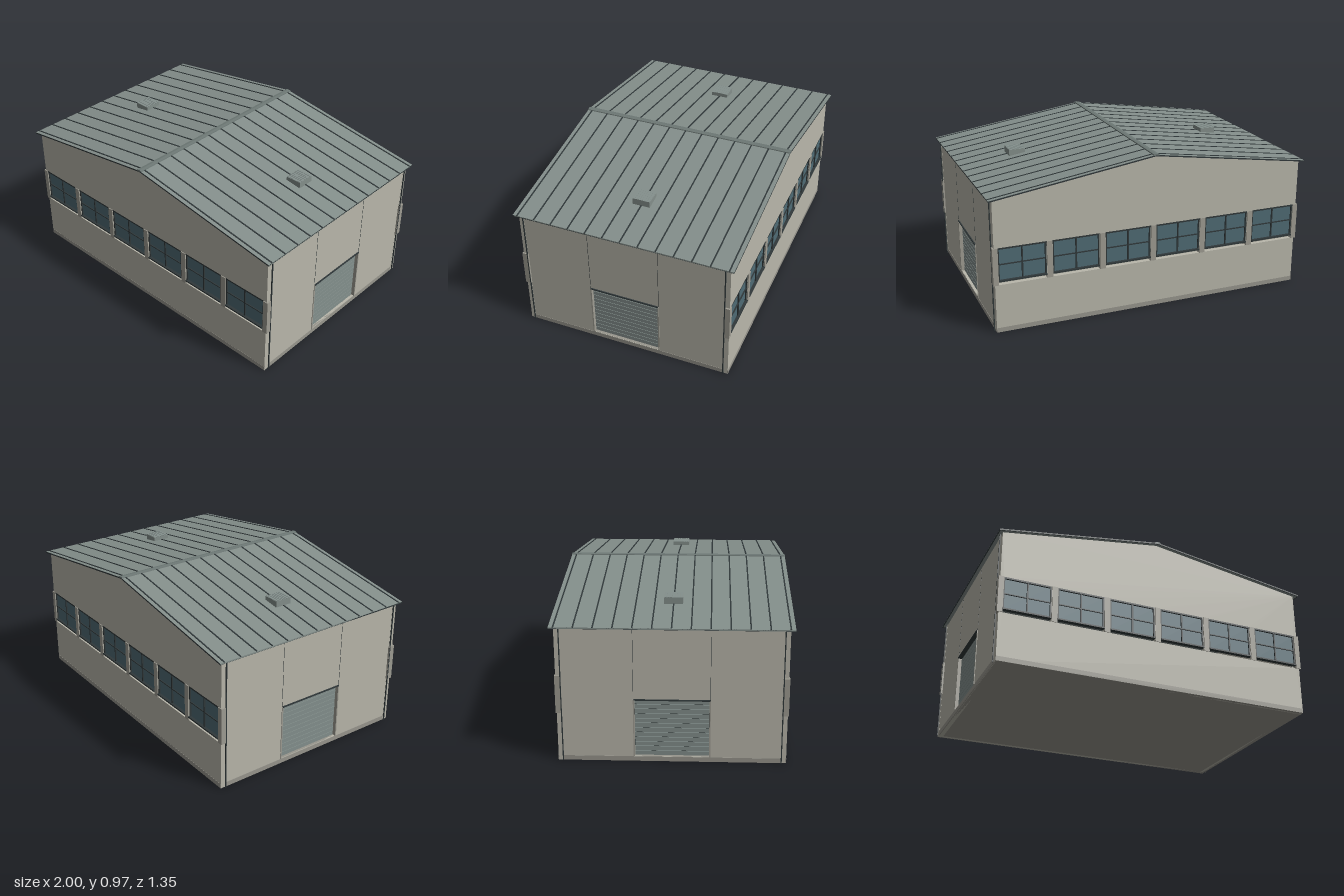
import * as THREE from 'three';

const mat = (color, side = THREE.FrontSide) => new THREE.MeshStandardMaterial({ color, side, flatShading: true, roughness: 0.9 });

export function createModel() {
  const model = new THREE.Group();
  const wall = mat(0xb9b7ab), trim = mat(0x9f9d93), plinthMat = mat(0x98968d);
  const roofMat = mat(0x848f8b), dark = mat(0x30383a), glass = mat(0x4f6b74), doorMat = mat(0x84908d);

  const group = (name, parent = model) => {
    const g = new THREE.Group();
    g.name = name;
    parent.add(g);
    return g;
  };
  // Box given by its low and high limits on each axis
  const box = (parent, name, m, x0, x1, y0, y1, z0, z1) => {
    const b = new THREE.Mesh(new THREE.BoxGeometry(x1 - x0, y1 - y0, z1 - z0), m);
    b.name = name;
    b.position.set((x0 + x1) / 2, (y0 + y1) / 2, (z0 + z1) / 2);
    parent.add(b);
    return b;
  };
  const shapeOf = pts => new THREE.Shape(pts.map(p => new THREE.Vector2(...p)));
  const rect = (x0, x1, y0, y1) => new THREE.Path([[x0, y0], [x0, y1], [x1, y1], [x1, y0]].map(p => new THREE.Vector2(...p)));
  const extrude = (parent, name, m, shape, depth, z) => {
    const mesh = new THREE.Mesh(new THREE.ExtrudeGeometry(shape, { depth, bevelEnabled: false }), m);
    mesh.name = name;
    mesh.position.z = z;
    parent.add(mesh);
    return mesh;
  };

  // Floor slab
  box(model, 'floorSlab', plinthMat, -0.972, 0.972, 0, 0.03, -0.648, 0.648);

  // Window ends, built identically front and back
  const centres = [0, 1, 2, 3, 4, 5].map(i => (i - 2.5) * 0.324);
  const hw = 0.143;
  for (const turn of [0, Math.PI]) {
    const end = group(turn ? 'backEnd' : 'frontEnd');
    end.rotation.y = turn;
    const gable = shapeOf([[-0.975, 0], [0.975, 0], [0.975, 0.809], [0, 0.955], [-0.975, 0.809]]);
    for (const c of centres) gable.holes.push(rect(c - hw, c + hw, 0.295, 0.52));
    extrude(end, 'gableWall', wall, gable, 0.028, 0.622);
    box(end, 'plinth', plinthMat, -0.975, 0.975, 0, 0.028, 0.645, 0.651);

    // Glazing with dark frame bars; an open slot stays below each frame
    for (const c of centres) {
      const w = group('window', end);
      box(w, 'pane', glass, c - hw, c + hw, 0.317, 0.518, 0.634, 0.64);
      for (const x of [c - hw + 0.004, c, c + hw - 0.004])
        box(w, 'verticalBar', dark, x - 0.004, x + 0.004, 0.315, 0.52, 0.63, 0.648);
      box(w, 'topRail', dark, c - hw, c + hw, 0.51, 0.52, 0.63, 0.65);
      box(w, 'middleRail', dark, c - hw, c + hw, 0.414, 0.42, 0.63, 0.647);
      box(w, 'bottomRail', dark, c - hw, c + hw, 0.314, 0.323, 0.63, 0.657);
    }
    // Piers between the windows and wrapping the corners
    for (let i = -2; i <= 2; i++)
      box(end, 'windowPier', trim, i * 0.324 - 0.017, i * 0.324 + 0.017, 0.295, 0.52, 0.622, 0.655);
    for (const s of [-1, 1])
      box(end, 'cornerPier', trim, s * 0.969 - 0.016, s * 0.969 + 0.016, 0.295, 0.52, 0.618, 0.655);
  }

  // Side walls with roller doors, built facing +z and turned outwards
  for (const s of [-1, 1]) {
    const side = group(s > 0 ? 'leftSide' : 'rightSide');
    side.rotation.y = s * Math.PI / 2;
    const sheet = shapeOf([[-0.622, 0], [0.622, 0], [0.622, 0.806], [-0.622, 0.806]]);
    sheet.holes.push(rect(-0.212, 0.212, 0.03, 0.38));
    extrude(side, 'sideWall', wall, sheet, 0.03, 0.944);
    box(side, 'plinth', plinthMat, -0.622, 0.622, 0, 0.028, 0.97, 0.976);
    for (const e of [-1, 1]) {
      box(side, 'panelJoint', dark, e * 0.217 - 0.001, e * 0.217 + 0.001, 0.38, 0.806, 0.972, 0.975);
      box(side, 'doorJamb', trim, e * 0.215 - 0.004, e * 0.215 + 0.004, 0.03, 0.38, 0.945, 0.978);
      box(side, 'downpipe', dark, e * 0.622 - 0.003, e * 0.622 + 0.003, 0, 0.808, 0.98, 0.986);
    }
    box(side, 'doorLintel', dark, -0.215, 0.215, 0.376, 0.383, 0.945, 0.981);

    // Door slats over a dark backing
    const door = group('rollerDoor', side);
    box(door, 'doorBacking', dark, -0.212, 0.212, 0.03, 0.38, 0.945, 0.952);
    const pitch = 0.346 / 12;
    for (let i = 0; i < 12; i++)
      box(door, 'doorSlat', doorMat, -0.21, 0.21, 0.03 + i * pitch, 0.03 + (i + 1) * pitch - 0.003, 0.95, 0.957);
  }

  // Pitched roof sheet
  const roof = group('roof');
  const section = shapeOf([[-1, 0.804], [0, 0.954], [1, 0.804], [1, 0.812], [0, 0.962], [-1, 0.812]]);
  extrude(roof, 'roofSheet', roofMat, section, 1.35, -0.675);

  // Dark barge trims on the gable edges and eaves
  for (const z of [-0.675, 0.672])
    extrude(roof, 'bargeTrim', dark, shapeOf([[-1, 0.803], [0, 0.953], [1, 0.803], [1, 0.811], [0, 0.961], [-1, 0.811]]), 0.004, z - 0.0005);
  for (const s of [-1, 1])
    box(roof, 'eaveTrim', dark, s * 0.998 - 0.002, s * 0.998 + 0.002, 0.803, 0.811, -0.675, 0.675);

  // Standing seams from eave to ridge
  const angle = Math.atan(0.15), length = Math.hypot(1, 0.15);
  for (let i = -6; i <= 6; i++)
    for (const s of [-1, 1]) {
      const z = i * 0.108;
      const seam = box(roof, 'roofSeam', dark, -length / 2, length / 2, -0.003, 0.003, z - 0.004, z + 0.004);
      seam.position.set(s * 0.4995, 0.887, z);
      seam.rotation.z = -s * angle;
    }
  extrude(roof, 'ridgeCap', mat(0x6d7875), shapeOf([[-0.018, 0.957], [0.018, 0.957], [0.016, 0.965], [0, 0.967], [-0.016, 0.965]]), 1.352, -0.676);

  // Louvred roof vents
  for (const s of [-1, 1]) {
    const vent = group('roofVent');
    box(vent, 'ventBox', roofMat, s * 0.65 - 0.05, s * 0.65 + 0.05, 0.855, 0.895, -0.054, 0.054);
    for (let i = -3; i <= 3; i++)
      box(vent, 'ventLouvre', doorMat, s * 0.65 - 0.05, s * 0.65 + 0.05, 0.894, 0.8965, i * 0.015 - 0.005, i * 0.015 + 0.005);
  }
  return model;
}
